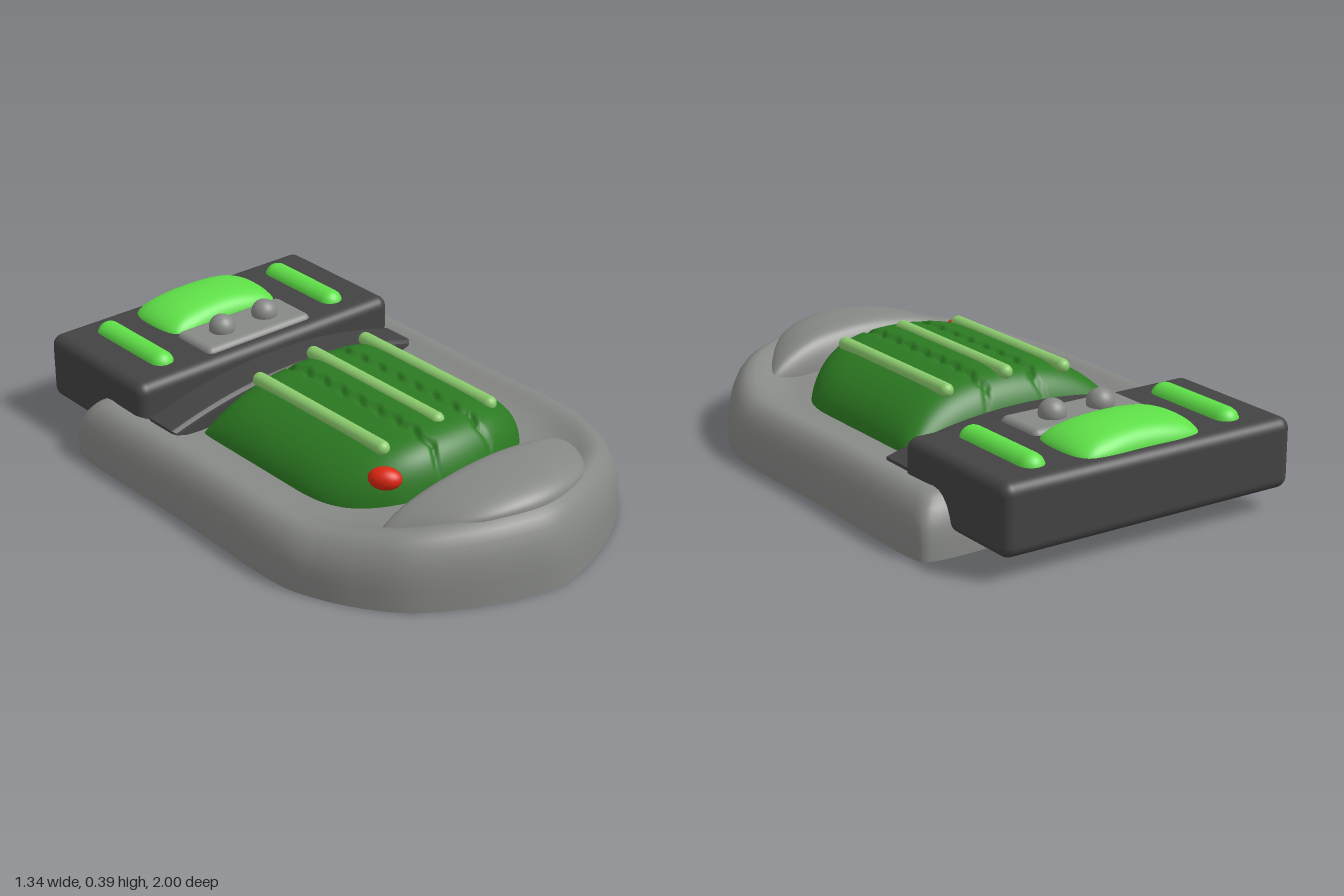
import * as THREE from 'three';
import { mergeVertices } from 'three/addons/utils/BufferGeometryUtils.js';
import { RoundedBoxGeometry } from 'three/addons/geometries/RoundedBoxGeometry.js';

const material = (name, color) => {
  const m = new THREE.MeshStandardMaterial({ color });
  m.name = name;
  return m;
};

// Smooth surface from a rule: fn(i, j) gives [x, y, z] on a grid
function surface(nu, nv, fn) {
  const pos = [], index = [];
  for (let j = 0; j <= nv; j++) for (let i = 0; i <= nu; i++) pos.push(...fn(i, j));
  for (let j = 0; j < nv; j++) for (let i = 0; i < nu; i++) {
    const a = j * (nu + 1) + i, b = a + 1, c = a + nu + 1, d = c + 1;
    index.push(a, c, b, b, c, d);
  }
  let g = new THREE.BufferGeometry();
  g.setAttribute('position', new THREE.Float32BufferAttribute(pos, 3));
  g.setIndex(index);
  g = mergeVertices(g, 1e-5);
  g.computeVertexNormals();
  return g;
}

// Closed plan outline from its +x half, listed from back to front
function outline(half, n = 120) {
  const all = [...half, ...half.filter(p => p[0] > 0).reverse().map(([x, z]) => [-x, z])];
  return new THREE.CatmullRomCurve3(all.map(([x, z]) => new THREE.Vector3(x, 0, z)), true).getPoints(n);
}

// Domed pad over an outline: edge(z) is the rim height, top(x, z) the crown
function dome(pts, cz, edge, top, power) {
  const rings = 20;
  return surface(pts.length - 1, rings, (i, j) => {
    const s = Math.cos(j / rings * Math.PI / 2);
    const k = j === rings ? 0 : s;
    const x = pts[i].x * k, z = cz + (pts[i].z - cz) * k, e = edge(z);
    return [x, e + (top(x, z) - e) * Math.sqrt(Math.max(0, 1 - k ** power)), z];
  });
}

export function createModel() {
  const grey = material('hull grey', 0x878986);
  const dark = material('charcoal', 0x434343);
  const green = material('dark green', 0x2c7a22);
  const pale = material('pale green', 0x8ccb6e);
  const bright = material('bright green', 0x5fe048);
  const red = material('red', 0xdd2612);

  const model = new THREE.Group();
  const add = (name, geometry, mat, x = 0, y = 0, z = 0) => {
    const m = new THREE.Mesh(geometry, mat);
    m.name = name;
    m.position.set(x, y, z);
    model.add(m);
    return m;
  };
  const step = THREE.MathUtils.smoothstep;

  // Hull: rounded rim around a shallow deck, rising towards the bow
  const hullLine = outline([[0, -0.72], [0.3, -0.72], [0.61, -0.72], [0.65, -0.705], [0.665, -0.67], [0.665, -0.1],
    [0.665, 0.43], [0.63, 0.55], [0.57, 0.67], [0.47, 0.8], [0.32, 0.9], [0.15, 0.97], [0, 1]], 192);
  const section = [[0, 0], [0, 0.06], [0.004, 0.1], [0.012, 0.13], [0.026, 0.16], [0.045, 0.184], [0.066, 0.198],
    [0.09, 0.203], [0.12, 0.196], [0.15, 0.183], [0.19, 0.172], [0.24, 0.168]];
  add('hull', surface(hullLine.length - 1, section.length, (i, j) => {
    if (j === section.length) return [0, 0.168, 0];
    const [inset, y] = section[j], p = hullLine[i];
    const z = p.z * (1 - inset / (p.z > 0 ? 1 : 0.72));
    return [p.x * (1 - inset / 0.665), y * (1 + 0.36 * step(z, 0.4, 1)), z];
  }), grey);
  add('hullBottom', surface(hullLine.length - 1, 1, (i, j) => [hullLine[i].x * j, 0, hullLine[i].z * j]), grey);

  // Raised cap on the bow
  const capLine = outline([[0, 0.605], [0.2, 0.605], [0.4, 0.608], [0.425, 0.622], [0.34, 0.76], [0.2, 0.88], [0, 0.932]]);
  add('bowCap', dome(capLine, 0.74, z => 0.17 + 0.1 * step(z, 0.6, 0.93),
    (x, z) => 0.332 - 0.45 * x * x - 0.3 * (z - 0.74) ** 2, 5), grey);

  // Cushion with two zigzag creases
  const nx = 130, nz = 96;
  add('cushion', surface(nx, nz, (i, j) => {
    const u = Math.sin((2 * i / nx - 1) * Math.PI / 2), v = Math.sin((2 * j / nz - 1) * Math.PI / 2);
    const z0 = 0.145 + 0.435 * v;
    const w = 0.43 * (1 - 0.45 * Math.max(0, (z0 - 0.2) / 0.38) ** 3);
    const x = u * w, z = z0 - 0.04 * u * u * Math.max(0, v);
    const zig = Math.abs((z * 11 + 20) % 1 - 0.5) * 0.04;
    const crease = 0.022 * Math.max(0, 1 - Math.abs(Math.abs(x) - 0.095 - zig) / 0.018);
    const top = 0.367 - 0.35 * x * x - crease;
    const fall = Math.sqrt(Math.max(0, 1 - u ** 4)) * Math.sqrt(Math.max(0, 1 - v ** 8));
    return [x, 0.15 + (top - 0.15) * fall, z];
  }), green);

  // Ridges along the cushion
  for (const x of [-0.235, 0, 0.235]) {
    const ridge = add('cushionRidge', new THREE.CapsuleGeometry(0.025, 0.625, 8, 16), pale, x, x ? 0.337 : 0.359, 0.105);
    ridge.rotation.x = Math.PI / 2;
  }

  // Small red valve on the cushion corner
  const valve = add('valve', new THREE.SphereGeometry(1, 20, 14), red, -0.295, 0.283, 0.5);
  valve.scale.set(0.04, 0.038, 0.056);
  valve.rotation.y = Math.PI / 5;

  // Arched bar between cushion and rear block
  const arch = new THREE.Shape();
  arch.moveTo(-0.515, 0.12);
  arch.lineTo(0.515, 0.12);
  arch.lineTo(0.515, 0.185);
  arch.quadraticCurveTo(0, 0.335, -0.515, 0.185);
  add('archedBar', new THREE.ExtrudeGeometry(arch, {
    depth: 0.11, curveSegments: 24, bevelSize: 0.02, bevelThickness: 0.02, bevelSegments: 4,
  }), dark, 0, 0, -0.43);

  // Rear block
  add('rearBlock', new RoundedBoxGeometry(1.12, 0.24, 0.55, 5, 0.04), dark, 0, 0.195, -0.725);

  // Headrest pad on the block
  const padLine = outline([[0, -0.96], [0.16, -0.96], [0.215, -0.945], [0.24, -0.9], [0.24, -0.75],
    [0.222, -0.705], [0.17, -0.69], [0, -0.69]]);
  add('headPad', dome(padLine, -0.825, () => 0.305,
    (x, z) => 0.386 - 0.5 * x * x - 1.2 * (z + 0.82) ** 2, 6), bright);

  // Side pads on the block
  for (const s of [-1, 1]) {
    const pad = add('sidePad', new THREE.CapsuleGeometry(0.046, 0.3, 8, 18), bright, s * 0.38, 0.305, -0.727);
    pad.rotation.x = Math.PI / 2;
  }

  // Control panel with two knobs
  add('controlPanel', new RoundedBoxGeometry(0.46, 0.06, 0.2, 4, 0.025), grey, 0, 0.303, -0.595);
  for (const s of [-1, 1]) {
    add('knob', new THREE.SphereGeometry(0.047, 24, 16), grey, s * 0.095, 0.344, -0.6);
  }
  return model;
}
